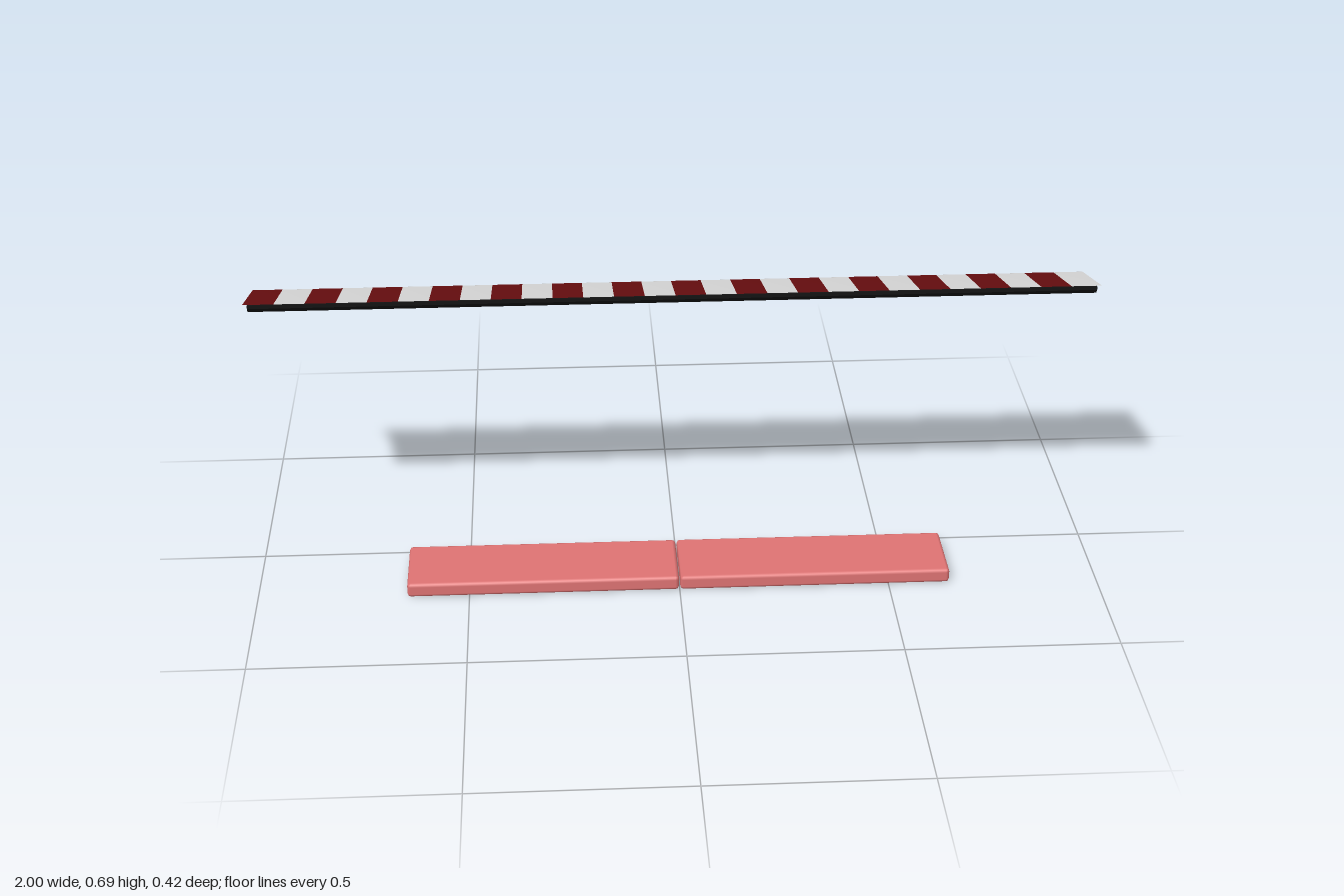
import * as THREE from 'three';
import { RoundedBoxGeometry } from 'three/addons/geometries/RoundedBoxGeometry.js';

const material = (name, color, side = THREE.FrontSide) => {
  const m = new THREE.MeshStandardMaterial({ color, side });
  m.name = name;
  return m;
};

// One fabric stripe: slope, rounded fall and a pointed tooth, as [z, y] rows
function stripeGeometry(width) {
  const rows = [[0.025, 0.686], [-0.18, 0.63], [-0.194, 0.624], [-0.203, 0.614], [-0.208, 0.6], [-0.21, 0.582]];
  const pos = [], idx = [], h = width / 2;
  for (const [z, y] of rows) pos.push(-h, y, z, h, y, z);
  for (let i = 0; i < rows.length - 1; i++) {
    const a = i * 2;
    idx.push(a, a + 1, a + 2, a + 1, a + 3, a + 2);
  }
  pos.push(0, 0.559, -0.212);
  const n = rows.length * 2;
  idx.push(n - 2, n - 1, n);
  const g = new THREE.BufferGeometry();
  g.setAttribute('position', new THREE.Float32BufferAttribute(pos, 3));
  // Reverse the winding so the outer face looks up and back
  for (let i = 0; i < idx.length; i += 3) [idx[i + 1], idx[i + 2]] = [idx[i + 2], idx[i + 1]];
  g.setIndex(idx);
  // Make sure the slope normal points up
  g.computeVertexNormals();
  if (g.attributes.normal.getY(0) < 0) {
    for (let i = 0; i < idx.length; i += 3) [idx[i + 1], idx[i + 2]] = [idx[i + 2], idx[i + 1]];
    g.setIndex(idx);
    g.computeVertexNormals();
  }
  return g;
}

// Bar with a [z, y] profile, running along x
function barGeometry(profile, length) {
  const shape = new THREE.Shape(profile.map(([z, y]) => new THREE.Vector2(z, y)));
  const g = new THREE.ExtrudeGeometry(shape, { depth: length, bevelEnabled: false });
  return g.translate(0, 0, -length / 2).rotateY(-Math.PI / 2);
}

export function createModel() {
  const model = new THREE.Group();
  const red = material('dark red fabric', 0x6a0e10, THREE.DoubleSide);
  const white = material('white fabric', 0xe0e0e0, THREE.DoubleSide);
  const black = material('black frame', 0x151515);
  const pink = material('pink cushion', 0xe07474);

  const add = (parent, name, geometry, mat, x = 0, y = 0, z = 0) => {
    const mesh = new THREE.Mesh(geometry, mat);
    mesh.name = name;
    mesh.position.set(x, y, z);
    parent.add(mesh);
  };

  // Striped awning cloth
  const cloth = new THREE.Group();
  cloth.name = 'awningCloth';
  const count = 28, width = 2 / count;
  const stripe = stripeGeometry(width);
  for (let i = 0; i < count; i++) {
    add(cloth, i % 2 ? 'whiteStripe' : 'redStripe', stripe, i % 2 ? white : red, -1 + (i + 0.5) * width);
  }
  model.add(cloth);

  // Rectangular frame under the cloth
  const frame = new THREE.Group();
  frame.name = 'awningFrame';
  const endProfile = [[0.023, 0.683], [-0.187, 0.625], [-0.187, 0.615], [-0.178, 0.61], [0.014, 0.663], [0.022, 0.674]];
  const frontProfile = [[0.023, 0.683], [0.003, 0.6775], [0.003, 0.66], [0.014, 0.663], [0.022, 0.674]];
  const backProfile = [[-0.167, 0.6305], [-0.187, 0.625], [-0.187, 0.615], [-0.178, 0.61], [-0.167, 0.613]];
  add(frame, 'frontBar', barGeometry(frontProfile, 1.94), black);
  add(frame, 'backBar', barGeometry(backProfile, 1.94), black);
  for (const s of [-1, 1]) add(frame, s > 0 ? 'leftBar' : 'rightBar', barGeometry(endProfile, 0.02), black, s * 0.98);
  model.add(frame);

  // Pair of seat cushions
  const cushion = new RoundedBoxGeometry(0.645, 0.035, 0.183, 1, 0.008);
  for (const s of [-1, 1]) add(model, s > 0 ? 'leftCushion' : 'rightCushion', cushion, pink, s * 0.324, 0.017, 0.12);

  return model;
}
